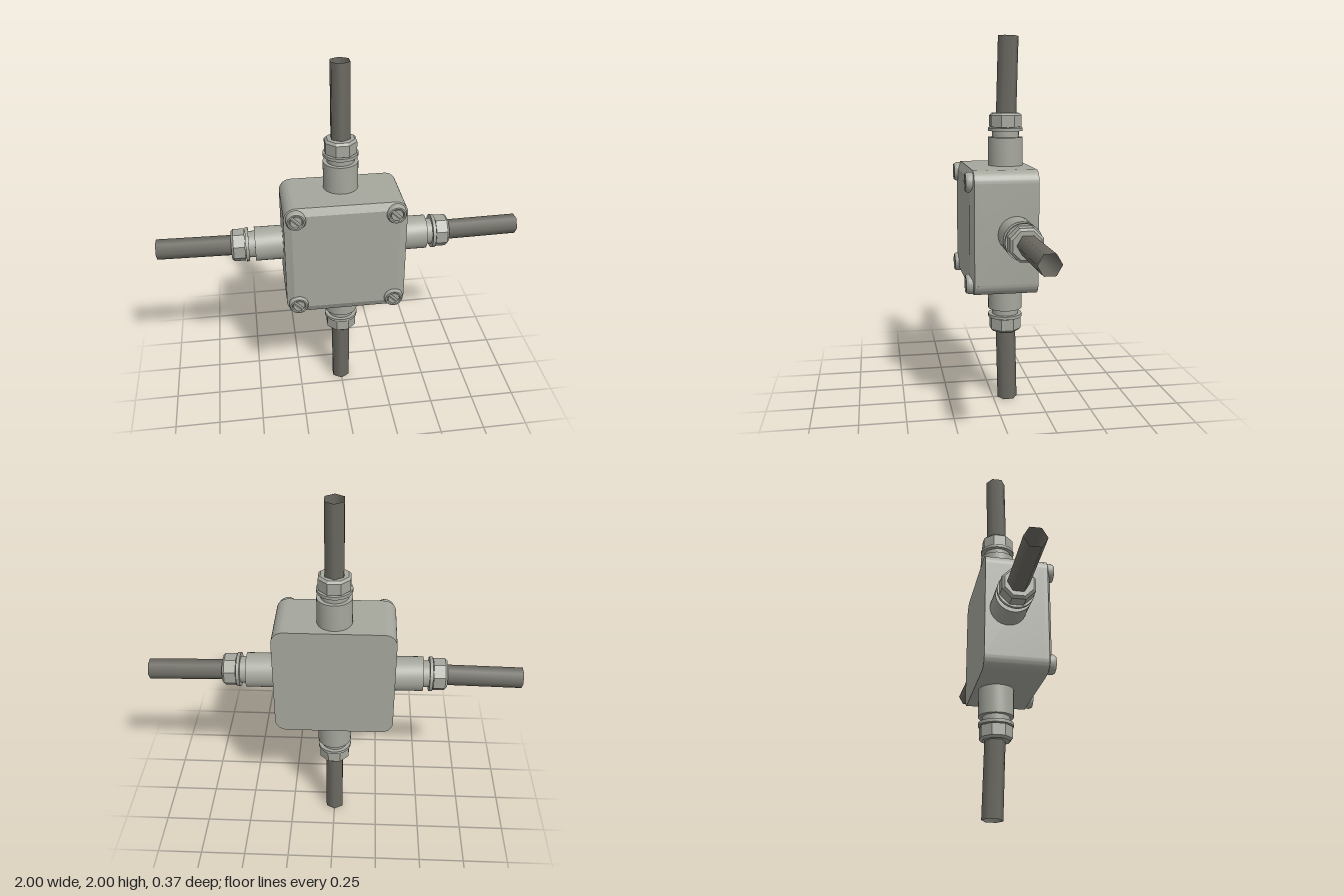
import * as THREE from 'three';
import { toCreasedNormals } from 'three/addons/utils/BufferGeometryUtils.js';

const housing = new THREE.MeshStandardMaterial({ color: 0xa5a79d });
housing.name = 'housingGrey';
const rubber = new THREE.MeshStandardMaterial({ color: 0x6c6a62, side: THREE.DoubleSide });
rubber.name = 'cableGrey';

function add(parent, name, geometry, material) {
  const mesh = new THREE.Mesh(geometry, material);
  mesh.name = name;
  parent.add(mesh);
  return mesh;
}

// Square outline with round corners, h = half size
function roundedSquare(h, r) {
  const s = new THREE.Shape();
  s.absarc(h - r, h - r, r, 0, Math.PI / 2);
  s.absarc(r - h, h - r, r, Math.PI / 2, Math.PI);
  s.absarc(r - h, r - h, r, Math.PI, Math.PI * 1.5);
  s.absarc(h - r, r - h, r, Math.PI * 1.5, Math.PI * 2);
  s.closePath();
  return s;
}

// Smooth turned part along y with crisp edges
function turned(profile, segments = 32) {
  const points = profile.map(([r, y]) => new THREE.Vector2(r, y));
  return toCreasedNormals(new THREE.LatheGeometry(points, segments), 0.5);
}

// Gland and cable pointing up from the box centre
function makeBranch() {
  const branch = new THREE.Group();
  add(branch, 'glandSleeve', turned([
    [0.093, 0.3], [0.093, 0.472], [0.072, 0.472], [0.072, 0.505],
    [0.093, 0.505], [0.093, 0.522], [0.075, 0.522], [0.075, 0.53],
  ]), housing);

  // Eight-sided nut with a tapered end
  const k = 1 / Math.cos(Math.PI / 8);
  const nut = turned([
    [0, 0.526], [0.082 * k, 0.526], [0.082 * k, 0.588], [0.07 * k, 0.6], [0, 0.6],
  ], 8);
  nut.rotateY(Math.PI / 8);
  add(branch, 'glandNut', nut, housing);

  // Open six-sided cable, leaning slightly back
  const cable = new THREE.CylinderGeometry(0.055, 0.055, 0.405, 6, 1, true);
  cable.translate(0, 0.2025, 0);
  const mesh = add(branch, 'cable', cable, rubber);
  mesh.position.set(0, 0.595, -0.004);
  mesh.rotation.x = -0.025;
  return branch;
}

// Slotted screw facing +z
function makeScrew() {
  const screw = new THREE.Group();
  const rim = turned([
    [0.052, 0.135], [0.052, 0.172], [0.045, 0.185], [0.037, 0.185], [0.034, 0.17], [0, 0.17],
  ], 24);
  rim.rotateX(Math.PI / 2);
  add(screw, 'screwRim', rim, housing);

  // Two half discs leave the slot between them
  for (const side of [0, 1]) {
    const half = new THREE.Shape();
    half.absarc(0, 0, 0.031, 0.28, Math.PI - 0.28);
    half.closePath();
    const geo = new THREE.ExtrudeGeometry(half, { depth: 0.015, bevelEnabled: false, curveSegments: 10 });
    geo.translate(0, 0, 0.167);
    const mesh = add(screw, 'screwHeadHalf', geo, housing);
    mesh.rotation.z = side * Math.PI - Math.PI / 4;
  }
  return screw;
}

export function createModel() {
  const model = new THREE.Group();
  model.name = 'junctionBox';
  const box = new THREE.Group();
  box.name = 'box';
  box.position.y = 1;
  model.add(box);

  // Deep rounded housing
  const body = new THREE.ExtrudeGeometry(roundedSquare(0.322, 0.065),
    { depth: 0.31, bevelEnabled: false, curveSegments: 8 });
  body.translate(0, 0, -0.185);
  add(box, 'housing', toCreasedNormals(body, 0.5), housing);

  // Lid with a broad chamfer
  const lid = new THREE.ExtrudeGeometry(roundedSquare(0.282, 0.025), {
    depth: 0.02, bevelEnabled: true, bevelThickness: 0.02, bevelSize: 0.04,
    bevelSegments: 1, curveSegments: 8,
  });
  lid.translate(0, 0, 0.125);
  add(box, 'lid', toCreasedNormals(lid, 0.4), housing);

  // Corner screws
  for (const x of [-1, 1]) for (const y of [-1, 1]) {
    const screw = makeScrew();
    screw.name = 'cornerScrew';
    screw.position.set(x * 0.26, y * 0.263, 0);
    box.add(screw);
  }

  // Four cable branches
  ['topBranch', 'rightBranch', 'bottomBranch', 'leftBranch'].forEach((name, i) => {
    const branch = makeBranch();
    branch.name = name;
    branch.position.z = -0.067;
    branch.rotation.z = i * Math.PI / 2;
    box.add(branch);
  });
  return model;
}
